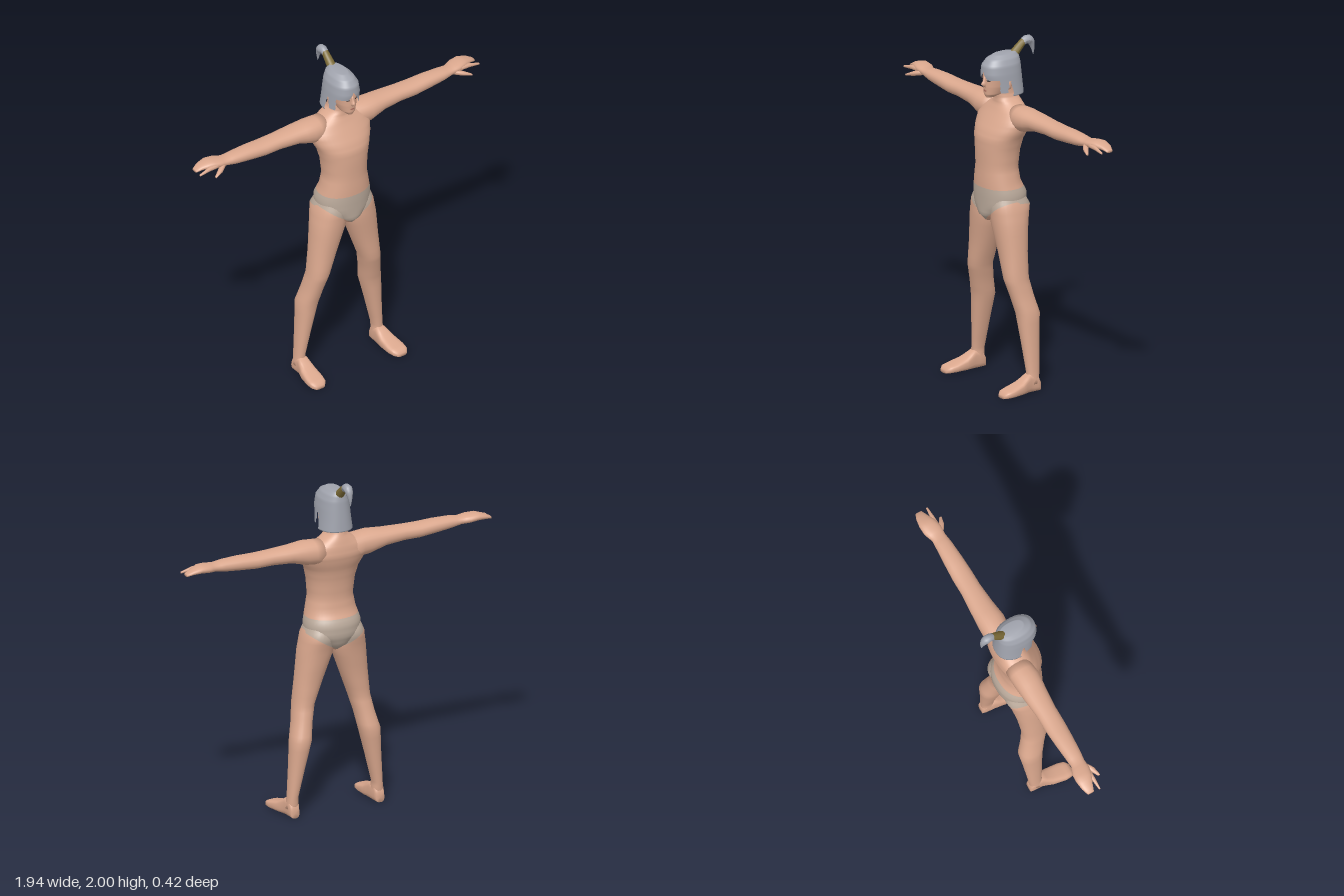
import * as THREE from 'three';

const material = (name, color, extra = {}) =>
  Object.assign(new THREE.MeshStandardMaterial({ color, ...extra }), { name });

// Axis order for lofts: [along, first cross axis, second cross axis]
const AXES = { y: ['y', 'x', 'z'], x: ['x', 'z', 'y'], z: ['z', 'y', 'x'] };

// Closed loft through rings [t, a0, a1, b0, b1]: rounded sections bounded by a0..a1 and b0..b1
function loft(rings, { axis = 'y', side = 1, segments = 24, steps = 2, power = 2.2 } = {}) {
  const [T, A, B] = AXES[axis];
  const pos = [], index = [], fine = [];
  rings.forEach((r, i) => {
    if (i === 0) return fine.push(r);
    for (let s = 1; s <= steps; s++) fine.push(r.map((v, k) => THREE.MathUtils.lerp(rings[i - 1][k], v, s / steps)));
  });
  const add = (t, a, b) => {
    const p = { [T]: t, [A]: a, [B]: b };
    pos.push(p.x * side, p.y, p.z);
  };
  const curve = v => Math.sign(v) * Math.pow(Math.abs(v), 2 / power);
  for (const [t, a0, a1, b0, b1] of fine) {
    for (let j = 0; j < segments; j++) {
      const th = j / segments * Math.PI * 2;
      add(t, (a0 + a1) / 2 + (a1 - a0) / 2 * curve(Math.cos(th)), (b0 + b1) / 2 + (b1 - b0) / 2 * curve(Math.sin(th)));
    }
  }
  const tri = (a, b, c) => (side > 0 ? index.push(a, b, c) : index.push(a, c, b));
  for (let i = 0; i < fine.length - 1; i++) {
    for (let j = 0; j < segments; j++) {
      const p = i * segments + j, q = i * segments + (j + 1) % segments;
      tri(p, p + segments, q);
      tri(q, p + segments, q + segments);
    }
  }
  // End caps
  [fine[0], fine[fine.length - 1]].forEach(([t, a0, a1, b0, b1], end) => {
    const c = pos.length / 3, o = end * (fine.length - 1) * segments;
    add(t, (a0 + a1) / 2, (b0 + b1) / 2);
    for (let j = 0; j < segments; j++) {
      const p = o + j, q = o + (j + 1) % segments;
      if (end) tri(c, q, p); else tri(c, p, q);
    }
  });
  const g = new THREE.BufferGeometry();
  g.setAttribute('position', new THREE.Float32BufferAttribute(pos, 3));
  g.setIndex(index);
  g.computeVertexNormals();
  return g;
}

// Cut a geometry along field(x, y, z) = 0; returns [positive part, negative part]
function split(geometry, field) {
  const g = geometry.toNonIndexed(), P = g.attributes.position, N = g.attributes.normal;
  return [1, -1].map(sign => {
    const pos = [], nor = [];
    for (let i = 0; i < P.count; i += 3) {
      const corners = [0, 1, 2].map(k => {
        const p = new THREE.Vector3().fromBufferAttribute(P, i + k);
        return { p, n: new THREE.Vector3().fromBufferAttribute(N, i + k), f: sign * (field(p.x, p.y, p.z) + 1e-7) };
      });
      const poly = [];
      corners.forEach((c, k) => {
        const d = corners[(k + 1) % 3];
        if (c.f >= 0) poly.push(c);
        if ((c.f >= 0) !== (d.f >= 0)) {
          const u = c.f / (c.f - d.f);
          poly.push({ p: c.p.clone().lerp(d.p, u), n: c.n.clone().lerp(d.n, u).normalize() });
        }
      });
      for (let k = 1; k + 1 < poly.length; k++) {
        for (const v of [poly[0], poly[k], poly[k + 1]]) {
          pos.push(...v.p.toArray());
          nor.push(...v.n.toArray());
        }
      }
    }
    const out = new THREE.BufferGeometry();
    out.setAttribute('position', new THREE.Float32BufferAttribute(pos, 3));
    out.setAttribute('normal', new THREE.Float32BufferAttribute(nor, 3));
    return out;
  });
}

// Tube along a path whose radius follows radiusAt(0..1)
function taperedTube(points, radiusAt, segments = 16, sides = 12) {
  const path = new THREE.CatmullRomCurve3(points.map(p => new THREE.Vector3(...p)));
  const g = new THREE.TubeGeometry(path, segments, 1, sides), P = g.attributes.position;
  const v = new THREE.Vector3();
  for (let i = 0; i < P.count; i++) {
    const u = Math.floor(i / (sides + 1)) / segments, c = path.getPointAt(u);
    v.fromBufferAttribute(P, i).sub(c).multiplyScalar(radiusAt(u)).add(c);
    P.setXYZ(i, v.x, v.y, v.z);
  }
  g.computeVertexNormals();
  return g;
}

export function createModel() {
  const model = new THREE.Group();
  model.name = 'figure';
  const skin = material('skin', 0xdba88e);
  const cloth = material('briefs cloth', 0xbcab9c);
  const grey = material('grey hair', 0xa0a3ad, { side: THREE.DoubleSide });
  const gold = material('hair band', 0x7d6c38, { side: THREE.DoubleSide });
  const lip = material('lips', 0xb57565);
  const dark = material('eyes', 0x4a3d38);
  const add = (name, geometry, mat) => {
    const mesh = new THREE.Mesh(geometry, mat);
    mesh.name = name;
    model.add(mesh);
  };
  const sym = ([y, w, z0, z1]) => [y, -w, w, z0, z1];

  // Briefs area: waistband above, leg line rising outward below
  const briefs = (x, y, z) => Math.min(1.165 - y, y - 0.965 - Math.abs(x) * (z > 0.02 ? 0.75 : 0.65));
  const dressed = (name, geometry) => {
    const [covered, bare] = split(geometry, briefs);
    add(name, bare, skin);
    add(name + 'Briefs', covered, cloth);
  };

  // Torso and neck
  dressed('torso', loft([
    [0.965, 0.03, -0.04, 0.12], [1.0, 0.09, -0.085, 0.15], [1.06, 0.165, -0.11, 0.152],
    [1.13, 0.166, -0.11, 0.155], [1.2, 0.147, -0.075, 0.155], [1.28, 0.132, -0.065, 0.152],
    [1.38, 0.142, -0.075, 0.153], [1.45, 0.16, -0.09, 0.15], [1.5, 0.183, -0.108, 0.13],
    [1.55, 0.198, -0.12, 0.1], [1.6, 0.17, -0.115, 0.07], [1.64, 0.1, -0.105, 0.05],
    [1.67, 0.055, -0.095, 0.047], [1.7, 0.045, -0.085, 0.05], [1.78, 0.045, -0.07, 0.05],
  ].map(sym), { segments: 40, steps: 3 }));

  for (const side of [1, -1]) {
    const tag = side > 0 ? 'left' : 'right';
    // Leg
    dressed(tag + 'Leg', loft([
      [0.05, 0.235, 0.305, -0.05, 0.03], [0.12, 0.238, 0.298, -0.055, 0.025], [0.3, 0.195, 0.287, -0.07, 0.04],
      [0.45, 0.157, 0.28, -0.085, 0.055], [0.55, 0.14, 0.255, -0.06, 0.08], [0.65, 0.115, 0.238, -0.04, 0.108],
      [0.8, 0.06, 0.222, -0.05, 0.115], [0.96, 0.002, 0.205, -0.075, 0.132], [1.06, 0, 0.184, -0.1, 0.137],
      [1.14, 0.03, 0.15, -0.06, 0.11],
    ], { side, segments: 28, steps: 3 }));
    // Foot
    add(tag + 'Foot', loft([
      [-0.055, 0, 0.06, 0.245, 0.295], [-0.035, 0, 0.1, 0.237, 0.302], [0.02, 0, 0.11, 0.232, 0.305],
      [0.08, 0, 0.072, 0.225, 0.325], [0.15, 0, 0.05, 0.226, 0.336], [0.19, 0, 0.04, 0.235, 0.332],
      [0.21, 0, 0.022, 0.255, 0.315],
    ], { axis: 'z', side, power: 3 }), skin);
    // Arm and hand
    add(tag + 'Arm', loft([
      [0.1, -0.105, 0.045, 1.5, 1.643], [0.2, -0.105, 0.055, 1.51, 1.648], [0.3, -0.1, 0.04, 1.54, 1.64],
      [0.42, -0.09, 0.03, 1.548, 1.635], [0.52, -0.09, 0.03, 1.547, 1.632], [0.62, -0.085, 0.025, 1.555, 1.635],
      [0.72, -0.078, 0.018, 1.565, 1.632], [0.78, -0.075, 0.01, 1.577, 1.625], [0.83, -0.095, 0.012, 1.583, 1.632],
      [0.88, -0.098, 0, 1.59, 1.635], [0.93, -0.09, -0.022, 1.59, 1.62], [0.967, -0.075, -0.035, 1.583, 1.6],
    ], { axis: 'x', side }), skin);
    // Forefinger and thumb
    add(tag + 'Forefinger', loft([
      [0.83, -0.03, 0.01, 1.59, 1.62], [0.9, -0.015, 0.009, 1.59, 1.615], [0.97, -0.005, 0.006, 1.583, 1.595],
    ], { axis: 'x', side, segments: 10 }), skin);
    add(tag + 'Thumb', loft([
      [0.79, -0.03, 0.005, 1.582, 1.61], [0.84, 0, 0.038, 1.57, 1.6], [0.89, 0.035, 0.05, 1.563, 1.575],
    ], { axis: 'x', side, segments: 10 }), skin);
    // Ear
    const ear = new THREE.SphereGeometry(1, 12, 8).scale(0.012, 0.032, 0.018).translate(side * 0.077, 1.765, 0.012);
    add(tag + 'Ear', ear, skin);
  }

  // Head with lips and eyes cut into the face
  const head = loft([
    [1.685, 0.018, 0.06, 0.115], [1.705, 0.042, 0, 0.124], [1.75, 0.06, -0.06, 0.127],
    [1.8, 0.07, -0.08, 0.127], [1.87, 0.066, -0.08, 0.115], [1.905, 0.035, -0.05, 0.07],
  ].map(sym), { segments: 72, steps: 8 });
  const oval = (x, y, z, cx, cy, rx, ry) =>
    z < 0.05 ? -1 : 1 - ((Math.abs(x) - cx) / rx) ** 2 - ((y - cy) / ry) ** 2;
  const [mouth, face] = split(head, (x, y, z) => oval(x, y, z, 0, 1.726, 0.016, 0.006));
  const [eyes, bareFace] = split(face, (x, y, z) => oval(x, y, z, 0.028, 1.788, 0.012, 0.006));
  add('head', bareFace, skin);
  add('lips', mouth, lip);
  add('eyes', eyes, dark);
  add('nose', loft([
    [1.748, 0.009, 0.11, 0.13], [1.765, 0.013, 0.11, 0.15], [1.785, 0.008, 0.11, 0.138], [1.81, 0.006, 0.11, 0.128],
  ].map(sym), { segments: 12 }), skin);

  // Hair shell trimmed to a fringe, side locks and a long back
  const hairEdge = (x, z) => {
    const ax = Math.abs(x);
    if (z > 0.075) return 1.795 + 0.045 * Math.max(0, 1 - ax / 0.028);
    if (z > 0.025) return 1.72;
    if (z > 0) return 1.785;
    return 1.696;
  };
  const shell = loft([
    [1.69, 0.1, -0.117, 0.11], [1.75, 0.094, -0.112, 0.125], [1.82, 0.088, -0.106, 0.137],
    [1.87, 0.08, -0.102, 0.132], [1.905, 0.062, -0.096, 0.105], [1.928, 0.036, -0.08, 0.06],
  ].map(sym), { segments: 96, steps: 5, power: 2.3 });
  add('hair', split(shell, (x, y, z) => y - hairEdge(x, z))[0], grey);

  // Ponytail held by a tapered band
  add('hairBand', taperedTube([[0, 1.895, -0.06], [0, 1.935, -0.1], [0, 1.972, -0.14]], u => 0.028 - 0.008 * u, 4), gold);
  add('ponytail', taperedTube(
    [[0, 1.962, -0.13], [0, 1.977, -0.155], [0, 1.968, -0.183], [0, 1.93, -0.2], [0, 1.88, -0.206]],
    u => (u < 0.3 ? 0.02 + 0.02 * u : 0.026 * (1 - (u - 0.3) / 0.7) + 0.001)), grey);

  return model;
}
